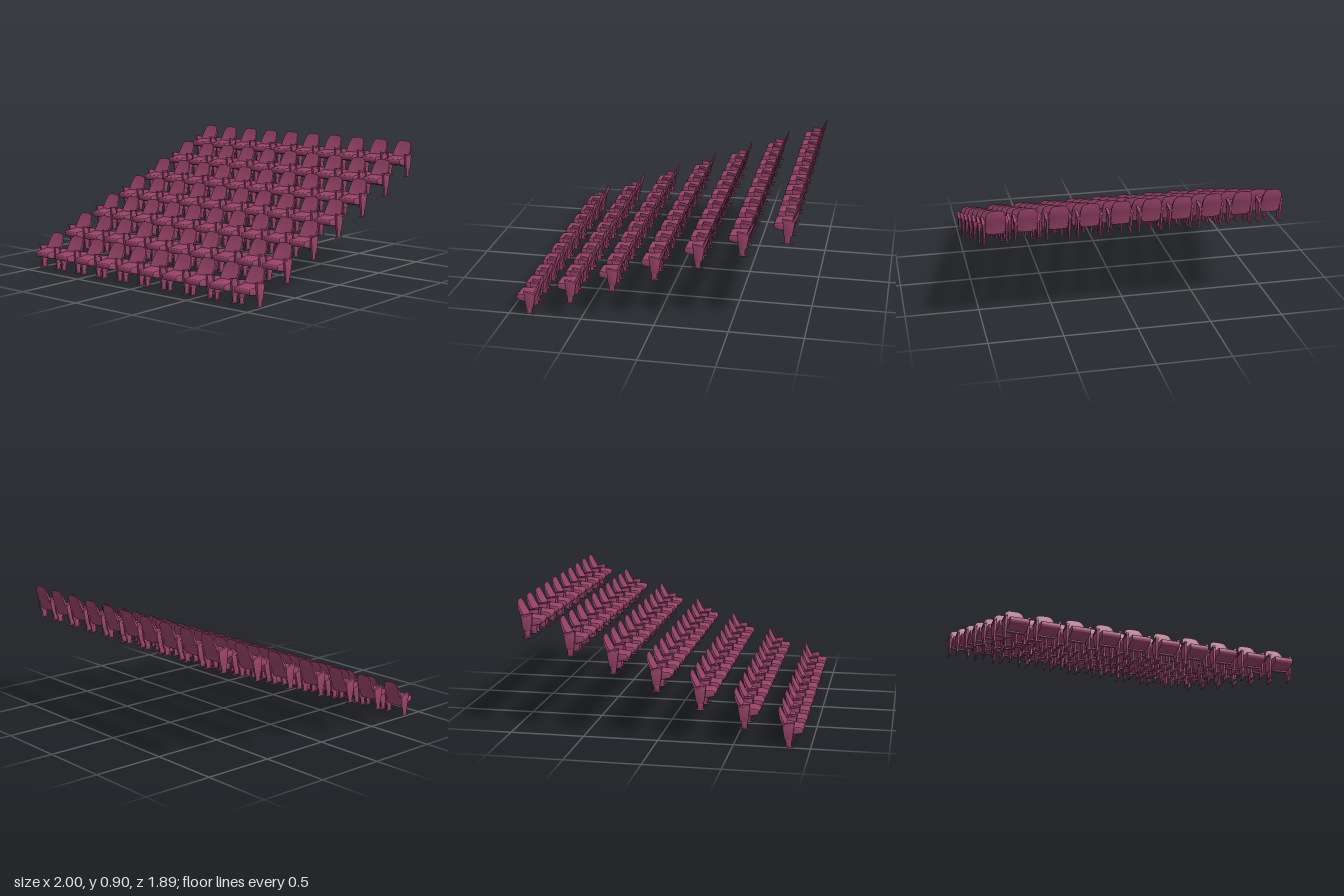
import * as THREE from 'three';
import { toCreasedNormals } from 'three/addons/utils/BufferGeometryUtils.js';
import { RoundedBoxGeometry } from 'three/addons/geometries/RoundedBoxGeometry.js';

const ROWS = 7, COLUMNS = 10;
const COLUMN_STEP = 0.203, ROW_STEP = 0.2877, ROW_RISE = 0.108;

// Extrudes a side profile of [z, y] points across x, centred on x = 0
function sideProfile(points, width, bevel, smooth = false) {
  const pts = points.map(([z, y]) => new THREE.Vector2(z, y));
  const shape = new THREE.Shape(smooth ? new THREE.SplineCurve([...pts, pts[0]]).getPoints(28).slice(0, -1) : pts);
  const depth = width - 2 * bevel;
  const geo = new THREE.ExtrudeGeometry(shape, {
    depth, bevelEnabled: true, bevelThickness: bevel, bevelSize: bevel, bevelOffset: -bevel, bevelSegments: 2,
  });
  geo.translate(0, 0, -depth / 2).rotateY(-Math.PI / 2);
  return toCreasedNormals(geo, 0.7);
}

// Linear interpolation through [y, value] stops
function along(stops, y) {
  for (let i = 1; i < stops.length; i++) {
    const [y0, a] = stops[i - 1], [y1, b] = stops[i];
    if (y <= y1) return a + (b - a) * (y - y0) / (y1 - y0);
  }
  return stops[stops.length - 1][1];
}

// Curved backrest: a box bent back, thinned and narrowed towards its crowned top
function backrestGeometry() {
  const front = [[0.07, -0.014], [0.13, -0.026], [0.16, -0.041], [0.187, -0.055], [0.22, -0.068], [0.248, -0.077]];
  const rear = [[0.07, -0.034], [0.11, -0.044], [0.147, -0.056], [0.187, -0.071], [0.22, -0.078], [0.248, -0.081]];
  const half = [[0.07, 0.057], [0.12, 0.064], [0.19, 0.066], [0.225, 0.06], [0.248, 0.054]];
  const geo = new THREE.BoxGeometry(2, 1, 1, 10, 12, 1);
  const p = geo.attributes.position;
  for (let i = 0; i < p.count; i++) {
    const u = p.getX(i), t = p.getY(i) + 0.5;
    const y = 0.07 + 0.178 * t;
    const wrap = 0.006 * u * u * (1 - 0.5 * t);
    p.setXYZ(i, u * along(half, y), y - 0.015 * u ** 4 * t ** 3,
      along(p.getZ(i) > 0 ? front : rear, y) + wrap);
  }
  return toCreasedNormals(geo, 0.8);
}

export function createModel() {
  const model = new THREE.Group();
  model.name = 'seatingBlock';
  const material = new THREE.MeshStandardMaterial({ color: 0x984468 });

  const cushion = sideProfile([
    [0.087, 0.112], [0.083, 0.128], [0.07, 0.133], [0.02, 0.135], [-0.03, 0.14],
    [-0.038, 0.11], [-0.03, 0.078], [0.02, 0.08], [0.07, 0.09], [0.083, 0.096],
  ], 0.128, 0.006, true);
  const backrest = backrestGeometry();
  const sidePanel = sideProfile([
    [0.029, 0.16], [0.026, 0.12], [0.02, 0.06], [0.015, 0.046],
    [-0.03, 0.046], [-0.036, 0.06], [-0.046, 0.12], [-0.049, 0.146],
  ], 0.016, 0.003);
  const armrest = sideProfile([
    [0.031, 0.168], [0.032, 0.156], [-0.05, 0.139], [-0.051, 0.149], [-0.02, 0.16],
  ], 0.021, 0.003);
  const leg = sideProfile([
    [0.016, 0.05], [0.013, 0.03], [0.014, 0.004], [-0.024, 0.004], [-0.023, 0.03], [-0.027, 0.05],
  ], 0.011, 0.001);
  const foot = new RoundedBoxGeometry(0.013, 0.008, 0.071, 1, 0.002);

  const add = (parent, name, geo, x = 0, y = 0, z = 0) => {
    const mesh = new THREE.Mesh(geo, material);
    mesh.name = name;
    mesh.position.set(x, y, z);
    parent.add(mesh);
  };

  // One chair standing on its own step
  function makeChair() {
    const chair = new THREE.Group();
    chair.name = 'chair';
    add(chair, 'seatCushion', cushion);
    add(chair, 'backrest', backrest);
    for (const [side, s] of [['left', 1], ['right', -1]]) {
      add(chair, side + 'SidePanel', sidePanel, s * 0.073);
      add(chair, side + 'Armrest', armrest, s * 0.0755);
      add(chair, side + 'Leg', leg, s * 0.073);
      add(chair, side + 'Foot', foot, s * 0.073, 0.004, -0.005);
    }
    return chair;
  }

  // Rows rise towards the back
  for (let r = 0; r < ROWS; r++) {
    const row = new THREE.Group();
    row.name = 'row' + (r + 1);
    row.position.set(0, r * ROW_RISE, ((ROWS - 1) / 2 - r) * ROW_STEP);
    for (let c = 0; c < COLUMNS; c++) {
      const chair = makeChair();
      chair.position.x = (c - (COLUMNS - 1) / 2) * COLUMN_STEP;
      row.add(chair);
    }
    model.add(row);
  }
  return model;
}
